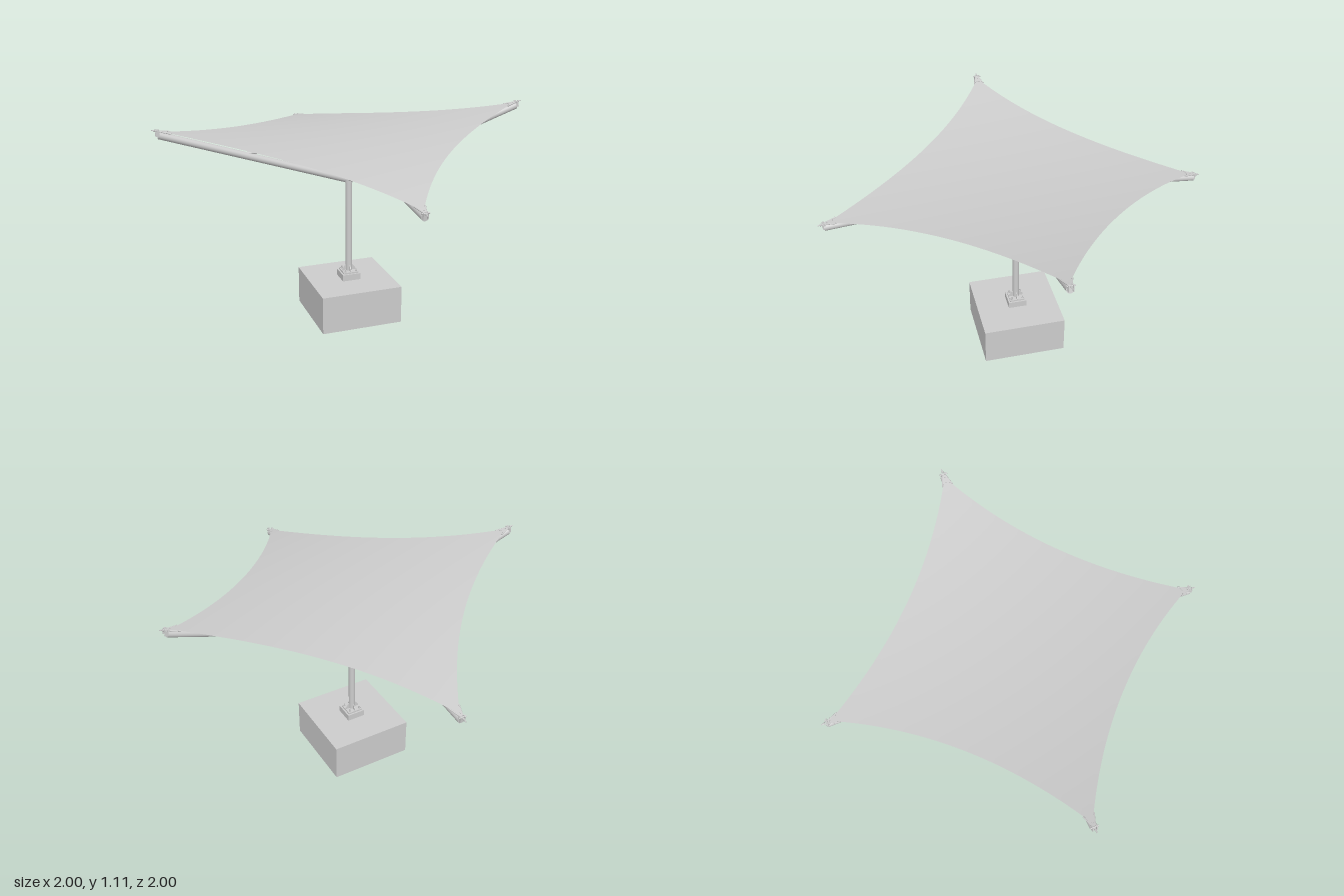
import * as THREE from 'three';

const V = (x, y, z) => new THREE.Vector3(x, y, z);
const TIP = 0.95, PULL = 0.335, MID = 1.0, RISE = 0.1;

export function createModel() {
  const model = new THREE.Group();
  const grey = new THREE.MeshStandardMaterial({ color: 0xcccccc });
  const cloth = new THREE.MeshStandardMaterial({ color: 0xcccccc, side: THREE.DoubleSide });

  function add(parent, name, geometry, x = 0, y = 0, z = 0, material = grey) {
    const mesh = new THREE.Mesh(geometry, material);
    mesh.name = name;
    mesh.position.set(x, y, z);
    parent.add(mesh);
    return mesh;
  }
  // Round bar between two points
  function bar(parent, name, a, b, r, sides = 24) {
    const d = b.clone().sub(a);
    const c = a.clone().add(b).multiplyScalar(0.5);
    const mesh = add(parent, name, new THREE.CylinderGeometry(r, r, d.length(), sides), c.x, c.y, c.z);
    mesh.quaternion.setFromUnitVectors(V(0, 1, 0), d.normalize());
    return mesh;
  }
  // Flat plate cut from an outline, centred on its thickness
  function plate(points, depth, hole) {
    const shape = new THREE.Shape(points.map(p => new THREE.Vector2(...p)));
    if (hole) shape.holes.push(new THREE.Path().absarc(...hole, 0, Math.PI * 2, true));
    const g = new THREE.ExtrudeGeometry(shape, { depth, bevelEnabled: false, curveSegments: 8 });
    return g.translate(0, 0, -depth / 2);
  }

  // Foundation, plinth and mast
  add(model, 'foundation', new THREE.BoxGeometry(0.44, 0.205, 0.44), 0, 0.1025, 0);
  add(model, 'plinth', new THREE.BoxGeometry(0.1, 0.035, 0.1), 0, 0.2225, 0);
  add(model, 'basePlate', new THREE.BoxGeometry(0.082, 0.008, 0.082), 0, 0.244, 0);
  bar(model, 'mast', V(0, 0.24, 0), V(0, 0.975, 0), 0.017, 32);
  add(model, 'mastCollar', new THREE.CylinderGeometry(0.02, 0.02, 0.04, 32), 0, 0.768, 0);
  add(model, 'mastCap', new THREE.CylinderGeometry(0.02, 0.02, 0.035, 32), 0, 0.96, 0);

  // Gussets and anchor bolts around the mast foot
  const gusset = plate([[0.014, 0], [0.039, 0], [0.039, 0.006], [0.02, 0.032], [0.014, 0.032]], 0.005);
  for (let i = 0; i < 4; i++) {
    const foot = new THREE.Group();
    foot.name = 'mastFoot';
    foot.position.y = 0.247;
    foot.rotation.y = i * Math.PI / 2;
    add(foot, 'gusset', gusset);
    add(foot, 'anchorNut', new THREE.CylinderGeometry(0.006, 0.006, 0.007, 6), 0.03, 0.004, 0.03);
    add(foot, 'anchorBolt', new THREE.CylinderGeometry(0.003, 0.003, 0.016, 10), 0.03, 0.008, 0.03);
    model.add(foot);
  }

  // Four arms: the pair along x rises, the pair along z falls
  for (let i = 0; i < 4; i++) {
    const high = i % 2 === 0;
    const arm = new THREE.Group();
    arm.name = high ? 'highArm' : 'lowArm';
    arm.rotation.y = i * Math.PI / 2;
    model.add(arm);

    const root = high ? V(0.02, 0.768, 0) : V(0.01, 0.962, 0);
    const end = high ? V(0.965, 1.083, 0) : V(0.965, 0.878, 0);
    bar(arm, 'armTube', root, end, 0.0185);
    const joint = root.clone().lerp(end, 0.59);
    const strutRoot = V(0.012, high ? 0.958 : 0.764, 0);
    bar(arm, 'strut', strutRoot, high ? joint : joint.clone().add(V(0, -0.012, 0)), 0.0075, 16);

    // Corner fitting that tensions the canopy over the arm end
    const corner = new THREE.Group();
    corner.name = 'cornerFitting';
    corner.position.set(TIP, MID + (high ? RISE : -RISE), 0);
    corner.rotation.z = high ? 0.21 : -0.21;
    arm.add(corner);
    const wedge = plate([[-0.035, -0.022], [0.012, -0.01], [0.012, 0.01], [-0.035, 0.022], [-0.027, 0]],
      0.006, [-0.002, 0, 0.004]);
    add(corner, 'cornerPlate', wedge.rotateX(-Math.PI / 2));
    bar(corner, 'tensionRod', V(0.005, 0, 0), V(0.048, 0, 0), 0.0028, 10);
    bar(corner, 'crossPin', V(0.018, 0, -0.02), V(0.018, 0, 0.02), 0.004, 12);
    add(corner, 'rodNut', new THREE.CylinderGeometry(0.006, 0.006, 0.007, 6), 0.031, 0, 0).rotation.z = Math.PI / 2;
    for (const s of [-1, 1]) {
      bar(corner, 'cableEnd', V(-0.045, 0, s * 0.026), V(0.012, 0, s * 0.007), 0.0035, 10);
      add(corner, 'lug', plate([[0.004, -0.026], [0.026, -0.026], [0.026, 0.005], [0.012, 0.007]], 0.004),
        0, 0, s * 0.011);
    }
  }

  // Saddle-shaped canopy stretched between four inward-curved edges
  const [A, B, C, D] = [[TIP, 0], [0, -TIP], [-TIP, 0], [0, TIP]];
  const edge = (p, q, t, k) =>
    (1 - t) ** 2 * p[k] + 2 * t * (1 - t) * (p[k] + q[k]) * (PULL / TIP) + t * t * q[k];
  const blend = (u, v, k) =>
    (1 - v) * edge(A, B, u, k) + v * edge(D, C, u, k) + (1 - u) * edge(A, D, v, k) + u * edge(B, C, v, k)
    - ((1 - u) * (1 - v) * A[k] + u * (1 - v) * B[k] + u * v * C[k] + (1 - u) * v * D[k]);
  const sheet = new THREE.PlaneGeometry(1, 1, 48, 48);
  const pos = sheet.attributes.position;
  for (let i = 0; i < pos.count; i++) {
    const u = pos.getX(i) + 0.5, v = pos.getY(i) + 0.5;
    const x = blend(u, v, 0), z = blend(u, v, 1);
    pos.setXYZ(i, x, MID + RISE * (x * x - z * z) / (TIP * TIP), z);
  }
  sheet.computeVertexNormals();
  add(model, 'canopy', sheet, 0, 0, 0, cloth);

  return model;
}
